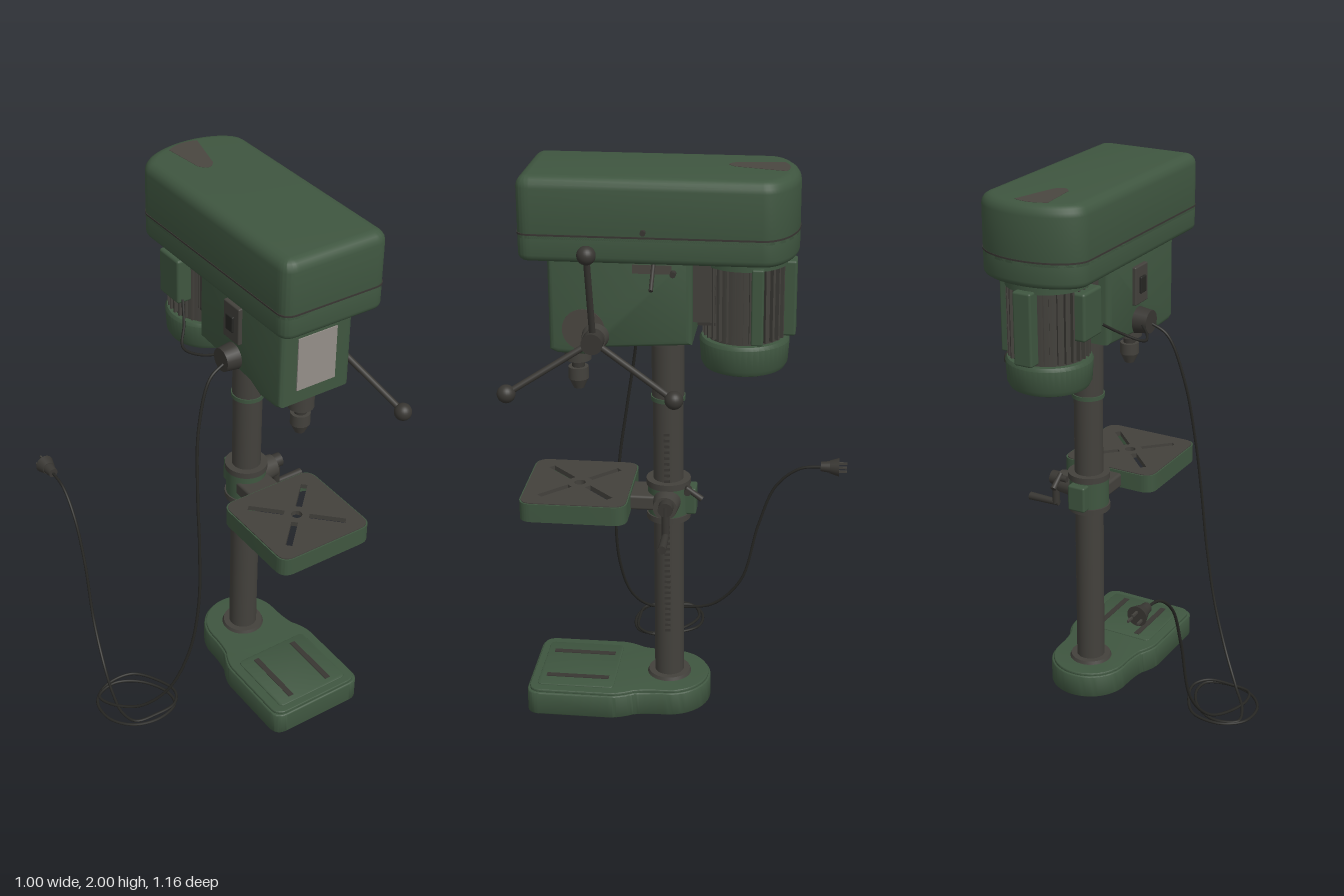
import * as THREE from 'three';
import { toCreasedNormals } from 'three/addons/utils/BufferGeometryUtils.js';
import { RoundedBoxGeometry } from 'three/addons/geometries/RoundedBoxGeometry.js';

const mat = (name, color) => Object.assign(new THREE.MeshStandardMaterial({ color }), { name });
const V = (x, y, z) => new THREE.Vector3(x, y, z);
const CX = 0.18, COLZ = 0.045;

export function createModel() {
  const green = mat('green paint', 0x3f5640);
  const metal = mat('dark metal', 0x43413c);
  const iron = mat('handle iron', 0x383632);
  const worn = mat('worn paint', 0x4a4640);
  const rubber = mat('black rubber', 0x262623);
  const plate = mat('pale plate', 0x948e88);
  const root = new THREE.Group();

  const add = (name, geo, m, x = 0, y = 0, z = 0) => {
    const mesh = new THREE.Mesh(geo, m);
    mesh.name = name;
    mesh.position.set(x, y, z);
    root.add(mesh);
    return mesh;
  };
  const box = (name, m, w, h, d, x, y, z, r = 0) =>
    add(name, r ? new RoundedBoxGeometry(w, h, d, 3, r) : new THREE.BoxGeometry(w, h, d), m, x, y, z);
  // Straight bar or cone between two points
  const rod = (name, m, a, b, r0, r1 = r0, seg = 24) => {
    const mesh = add(name, new THREE.CylinderGeometry(r1, r0, a.distanceTo(b), seg), m);
    mesh.position.copy(a).add(b).multiplyScalar(0.5);
    mesh.quaternion.setFromUnitVectors(V(0, 1, 0), b.clone().sub(a).normalize());
    return mesh;
  };
  const upright = (name, m, r, y0, y1, z, r1 = r) => rod(name, m, V(CX, y0, z), V(CX, y1, z), r, r1, 40);
  const extrude = (shape, depth, b) => new THREE.ExtrudeGeometry(shape, {
    depth: depth - 2 * b, bevelEnabled: b > 0, bevelSize: b, bevelThickness: b,
    bevelOffset: -b, bevelSegments: 4, curveSegments: 16,
  });
  // Plan outline (x, z) raised from y0 to y1
  const slab = (name, m, shape, y0, y1, b = 0) => {
    const g = extrude(shape, y1 - y0, b).rotateX(Math.PI / 2).translate(0, y1 - b, 0);
    return add(name, toCreasedNormals(g, 0.6), m);
  };
  const roundRect = (x0, x1, z0, z1, r, T = THREE.Shape) => {
    const s = new T();
    s.moveTo(x0 + r, z0);
    s.lineTo(x1 - r, z0); s.quadraticCurveTo(x1, z0, x1, z0 + r);
    s.lineTo(x1, z1 - r); s.quadraticCurveTo(x1, z1, x1 - r, z1);
    s.lineTo(x0 + r, z1); s.quadraticCurveTo(x0, z1, x0, z1 - r);
    s.lineTo(x0, z0 + r); s.quadraticCurveTo(x0, z0, x0 + r, z0);
    return s;
  };

  // Base: rectangular foot narrowing to a round end under the column
  const baseShape = (i) => {
    const s = new THREE.Shape(), w = 0.193 - i, f = 0.55 - i, r = 0.152 - i;
    s.moveTo(CX - w, 0.25);
    s.quadraticCurveTo(CX - w, 0.21, CX - r - 0.012, 0.16);
    s.quadraticCurveTo(CX - r, 0.12, CX - r, COLZ);
    s.absarc(CX, COLZ, r, Math.PI, 2 * Math.PI, false);
    s.quadraticCurveTo(CX + r, 0.12, CX + r + 0.012, 0.16);
    s.quadraticCurveTo(CX + w, 0.21, CX + w, 0.25);
    s.lineTo(CX + w, f - 0.05); s.quadraticCurveTo(CX + w, f, CX + w - 0.05, f);
    s.lineTo(CX - w + 0.05, f); s.quadraticCurveTo(CX - w, f, CX - w, f - 0.05);
    return s;
  };
  slab('base', green, baseShape(0), 0, 0.09, 0.006);
  slab('baseTop', green, baseShape(0.008), 0.085, 0.1, 0.004);
  slab('basePanel', green, roundRect(CX - 0.15, CX + 0.15, 0.235, 0.515, 0.02), 0.095, 0.104, 0.003);
  for (const s of [-1, 1]) box('baseSlot', iron, 0.022, 0.004, 0.23, CX + s * 0.085, 0.104, 0.375);

  // Column with flange, sleeve and rack
  upright('columnFlange', metal, 0.082, 0.095, 0.112, COLZ, 0.075);
  upright('column', metal, 0.053, 0.1, 1.45, COLZ);
  upright('columnSleeve', metal, 0.056, 1.19, 1.45, COLZ);
  upright('columnRing', green, 0.06, 1.185, 1.2, COLZ);
  upright('columnCollar', metal, 0.063, 1.39, 1.45, COLZ);
  for (let i = 0; i < 36; i++) box('rackTooth', iron, 0.008, 0.01, 0.02, CX + 0.052, 0.3 + i * 0.022, COLZ);

  // Table: green skirt, dark top with a cross of slots
  const rim = roundRect(CX - 0.192, CX + 0.192, 0.172, 0.55, 0.05);
  rim.holes.push(roundRect(CX - 0.172, CX + 0.172, 0.192, 0.53, 0.035, THREE.Path));
  slab('tableSkirt', green, rim, 0.78, 0.848);
  const top = roundRect(CX - 0.187, CX + 0.187, 0.177, 0.545, 0.045);
  for (let k = 0; k < 4; k++) {
    const a = Math.PI / 4 + k * Math.PI / 2, c = Math.cos(a), s = Math.sin(a);
    top.holes.push(new THREE.Path([[0.045, -0.012], [0.175, -0.012], [0.175, 0.012], [0.045, 0.012]]
      .map(([u, v]) => new THREE.Vector2(CX + u * c - v * s, 0.361 + u * s + v * c))));
  }
  top.holes.push(new THREE.Path().absarc(CX, 0.361, 0.02, 0, Math.PI * 2, true));
  slab('tableTop', metal, top, 0.833, 0.851);
  box('tableArm', metal, 0.13, 0.055, 0.13, CX, 0.81, 0.135, 0.01);

  // Clamp around the column, crank and locking lever
  upright('tableClamp', green, 0.073, 0.745, 0.88, COLZ);
  upright('clampTop', metal, 0.078, 0.865, 0.888, COLZ);
  upright('clampBottom', metal, 0.078, 0.738, 0.76, COLZ);
  box('clampLug', green, 0.07, 0.1, 0.05, CX, 0.81, -0.03, 0.008);
  rod('crankHousing', metal, V(CX + 0.04, 0.82, COLZ), V(0.3, 0.82, COLZ), 0.05, 0.042);
  rod('crankHub', iron, V(0.29, 0.83, 0.04), V(0.335, 0.83, 0.04), 0.026);
  rod('crankArm', iron, V(0.322, 0.84, 0.04), V(0.322, 0.725, 0.04), 0.014);
  rod('crankHandle', iron, V(0.31, 0.728, 0.04), V(0.435, 0.728, 0.04), 0.012, 0.015);
  rod('lockScrew', iron, V(CX + 0.05, 0.87, -0.03), V(0.27, 0.87, -0.03), 0.012);
  rod('lockLever', iron, V(0.26, 0.885, -0.025), V(0.26, 0.845, -0.08), 0.009, 0.011);

  // Head: side outline extruded across x
  const head = new THREE.Shape([[-0.05, 1.43], [-0.05, 1.74], [0.427, 1.74], [0.427, 1.4], [0.4, 1.388],
    [0.31, 1.385], [0.25, 1.412]].map(([z, y]) => new THREE.Vector2(-z, y)));
  const headGeo = extrude(head, 0.285, 0.018).rotateY(Math.PI / 2).translate(CX - 0.1245, 0, 0);
  add('head', toCreasedNormals(headGeo, 0.6), green);
  box('headPlate', plate, 0.155, 0.2, 0.006, CX, 1.55, 0.428);
  const patch = add('headWear', new THREE.CylinderGeometry(0.072, 0.072, 0.004, 28), worn, CX + 0.143, 1.475, 0.31);
  patch.rotation.z = Math.PI / 2;
  box('headTopWear', worn, 0.004, 0.03, 0.13, CX + 0.142, 1.69, 0.08);
  box('motorBracket', metal, 0.2, 0.2, 0.09, CX, 1.6, -0.08);

  // Belt cover with a bowed back end
  const coverShape = (i) => {
    const s = new THREE.Shape(), w = 0.2 - i, f = 0.515 - i, b = -0.393 + i;
    s.moveTo(CX - w, -0.28);
    s.bezierCurveTo(CX - w, -0.34, CX - 0.11, b, CX, b);
    s.bezierCurveTo(CX + 0.11, b, CX + w, -0.34, CX + w, -0.28);
    s.lineTo(CX + w, f - 0.05); s.quadraticCurveTo(CX + w, f, CX + w - 0.05, f);
    s.lineTo(CX - w + 0.05, f); s.quadraticCurveTo(CX - w, f, CX - w, f - 0.05);
    return s;
  };
  slab('coverLid', green, coverShape(0), 1.76, 2, 0.038);
  slab('coverTray', green, coverShape(0), 1.72, 1.83, 0.022);
  slab('coverSeam', iron, coverShape(-0.002), 1.808, 1.814);
  const wear = new THREE.Shape();
  wear.moveTo(0.1, -0.335);
  wear.quadraticCurveTo(0.16, -0.37, 0.22, -0.345);
  wear.lineTo(0.175, -0.18);
  wear.quadraticCurveTo(0.145, -0.13, 0.115, -0.18);
  slab('coverWear', worn, wear, 1.998, 2.001);
  rod('coverLatch', iron, V(0.37, 1.83, 0.1), V(0.395, 1.83, 0.1), 0.009);

  // Motor: finned drum, end cap and terminal box
  const MZ = -0.215;
  upright('motorDrum', metal, 0.128, 1.42, 1.73, MZ);
  for (let i = 0; i < 32; i++) {
    const a = i * Math.PI / 16;
    box('motorFin', metal, 0.03, 0.26, 0.007, CX + 0.128 * Math.cos(a), 1.57, MZ - 0.128 * Math.sin(a)).rotation.y = a;
  }
  const cap = [[0, 1.318], [0.12, 1.32], [0.138, 1.328], [0.147, 1.345], [0.152, 1.42], [0.145, 1.432], [0, 1.435]];
  add('motorCap', toCreasedNormals(new THREE.LatheGeometry(cap.map(p => new THREE.Vector2(...p)), 48), 0.6), green, CX, 0, MZ);
  upright('motorTopRing', green, 0.146, 1.69, 1.73, MZ);
  box('motorBackPad', green, 0.07, 0.26, 0.05, CX, 1.57, -0.362, 0.008);
  box('motorSidePad', green, 0.03, 0.26, 0.04, CX + 0.135, 1.57, -0.265, 0.006);
  box('terminalBox', green, 0.06, 0.17, 0.12, 0.04, 1.6, MZ + 0.01, 0.01);
  box('motorFoot', iron, 0.2, 0.15, 0.06, CX, 1.565, -0.095);

  // Spindle and chuck
  upright('quill', metal, 0.046, 1.32, 1.41, 0.355);
  upright('spindle', iron, 0.022, 1.28, 1.33, 0.355);
  upright('chuckBody', metal, 0.035, 1.25, 1.293, 0.355);
  upright('chuckNose', metal, 0.018, 1.215, 1.25, 0.355, 0.034);

  // Feed hub with three ball-ended arms
  const hub = V(0.375, 1.455, 0.27);
  rod('feedBoss', metal, V(0.31, 1.455, 0.27), V(0.36, 1.455, 0.27), 0.048, 0.04);
  rod('feedHub', iron, V(0.35, 1.455, 0.27), V(0.41, 1.455, 0.27), 0.036);
  for (let k = 0; k < 3; k++) {
    const a = Math.PI / 2 + k * Math.PI * 2 / 3;
    const end = V(0.468, 1.455 + 0.32 * Math.sin(a), 0.27 + 0.32 * Math.cos(a));
    rod('feedArm', iron, hub, end, 0.011, 0.011, 16);
    add('feedBall', new THREE.SphereGeometry(0.031, 24, 16), iron, end.x, end.y, end.z);
  }
  rod('beltLever', iron, V(0.315, 1.71, 0.075), V(0.395, 1.64, 0.075), 0.007);
  rod('beltScrew', iron, V(0.31, 1.68, 0.01), V(0.345, 1.68, 0.01), 0.01);

  // Switch and cable gland on the far side
  box('switchPlate', metal, 0.02, 0.14, 0.09, 0.033, 1.6, 0.16, 0.005);
  box('switchRocker', rubber, 0.02, 0.06, 0.04, 0.024, 1.6, 0.16, 0.004);
  rod('gland', iron, V(0.05, 1.465, 0.16), V(-0.015, 1.465, 0.16), 0.05, 0.042);

  // Mains cable, coiled on the floor and rising to the plug
  const tube = (name, pts, seg, r) => add(name, new THREE.TubeGeometry(
    new THREE.CatmullRomCurve3(pts.map(p => V(...p))), seg, r, 8), rubber);
  tube('mainsCable', [[0, 1.46, 0.17], [-0.07, 1.42, 0.178], [-0.13, 1.25, 0.2], [-0.16, 1, 0.24], [-0.172, 0.8, 0.27],
    [-0.19, 0.55, 0.292], [-0.23, 0.33, 0.287], [-0.3, 0.15, 0.25], [-0.38, 0.05, 0.18], [-0.45, 0.02, 0.09],
    [-0.465, 0.012, 0.02], [-0.38, 0.01, -0.01], [-0.29, 0.01, 0.04], [-0.235, 0.01, 0.14], [-0.245, 0.01, 0.21],
    [-0.33, 0.008, 0.24], [-0.43, 0.008, 0.215], [-0.49, 0.008, 0.14], [-0.485, 0.008, 0.04], [-0.41, 0.008, -0.02],
    [-0.3, 0.012, -0.015], [-0.235, 0.015, 0.07], [-0.212, 0.018, 0.16], [-0.25, 0.02, 0.215], [-0.34, 0.02, 0.225],
    [-0.42, 0.02, 0.212], [-0.44, 0.02, 0.15], [-0.42, 0.03, 0.04], [-0.39, 0.07, -0.07], [-0.365, 0.2, -0.18],
    [-0.357, 0.45, -0.245], [-0.355, 0.62, -0.31], [-0.348, 0.7, -0.4], [-0.345, 0.715, -0.5]], 420, 0.0055);
  tube('motorCable', [[0.02, 1.54, -0.13], [-0.02, 1.49, -0.06], [-0.068, 1.45, 0.01], [-0.04, 1.45, 0.08],
    [0.01, 1.465, 0.13]], 48, 0.005);
  rod('plugNeck', iron, V(-0.345, 0.715, -0.48), V(-0.345, 0.715, -0.525), 0.018, 0.024);
  rod('plugBody', iron, V(-0.345, 0.715, -0.515), V(-0.345, 0.715, -0.55), 0.025, 0.036);
  for (const [x, y] of [[-0.018, -0.01], [0.018, -0.01], [0, 0.016]])
    box('plugPin', metal, 0.007, 0.008, 0.035, -0.345 + x, 0.715 + y, -0.563);

  return root;
}
